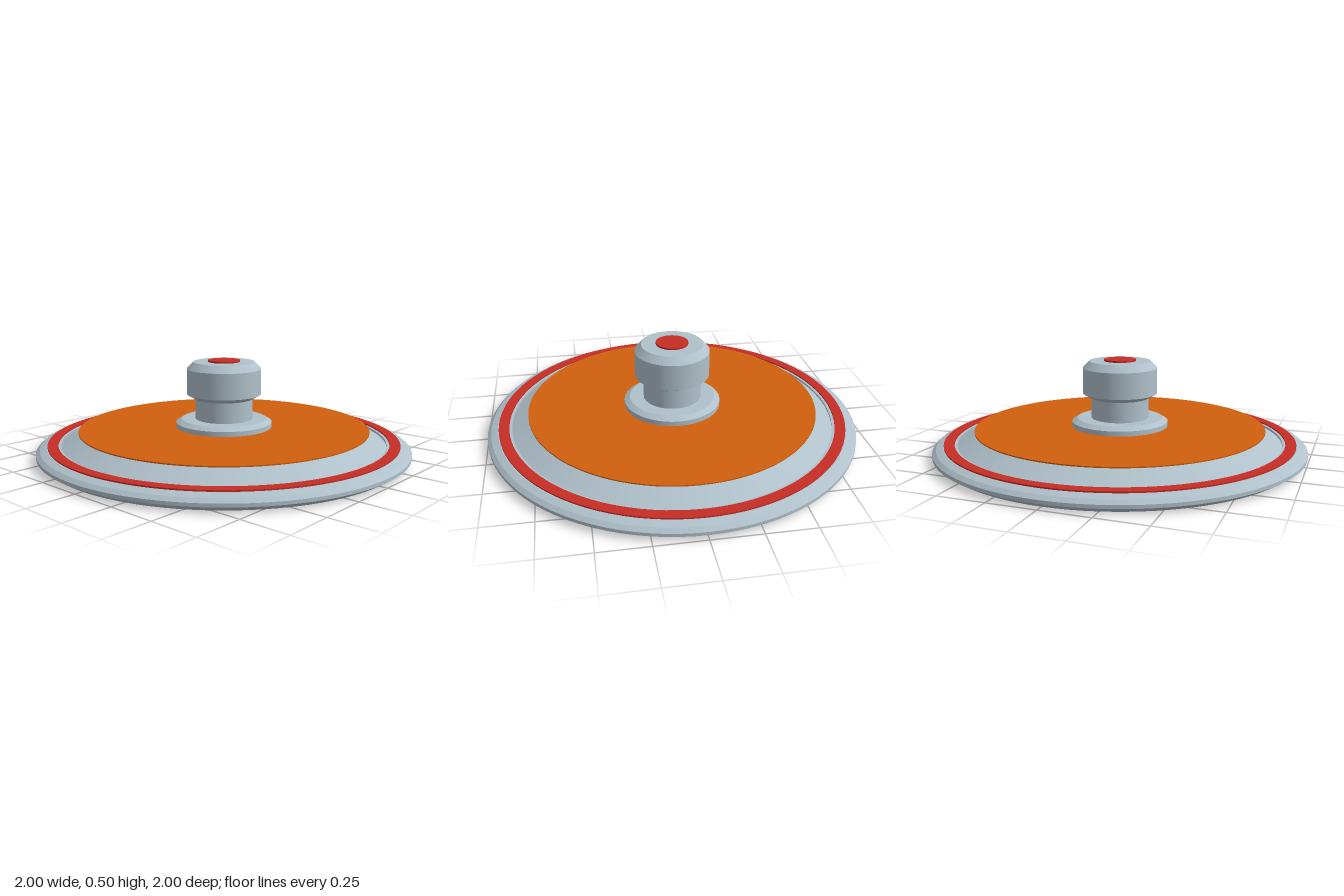
import * as THREE from 'three';
import { mergeGeometries } from 'three/addons/utils/BufferGeometryUtils.js';

const SEGMENTS = 96;

// Turned solid: smooth around the axis, crisp edge at every profile point.
function turned(profile) {
  const bands = [];
  for (let i = 0; i < profile.length - 1; i++) {
    const pair = [profile[i], profile[i + 1]].map(([r, y]) => new THREE.Vector2(r, y));
    bands.push(new THREE.LatheGeometry(pair, SEGMENTS));
  }
  return mergeGeometries(bands);
}

function smoothTurned(profile) {
  return new THREE.LatheGeometry(profile.map(([r, y]) => new THREE.Vector2(r, y)), SEGMENTS);
}

// Thin flat ring as a closed section
function ring(inner, outer, y0, y1) {
  return turned([[inner, y0], [outer, y0], [outer, y1], [inner, y1], [inner, y0]]);
}

export function createModel() {
  const model = new THREE.Group();
  const metal = new THREE.MeshStandardMaterial({ color: 0xb0c1cb });
  const orange = new THREE.MeshStandardMaterial({ color: 0xd05f0e });
  const red = new THREE.MeshStandardMaterial({ color: 0xc62d25 });
  metal.name = 'paleMetal';
  orange.name = 'orangePaint';
  red.name = 'redTrim';

  const add = (name, geometry, material) => {
    const mesh = new THREE.Mesh(geometry, material);
    mesh.name = name;
    model.add(mesh);
  };

  // Hollow underside, softly blended into its flat ceiling
  add('lidUnderside', smoothTurned([[0.14, 0.09], [0.74, 0.09], [0.765, 0.088], [0.86, 0.045], [0.957, 0]]), metal);

  // Rim, raised centre and the bore through it
  add('lidBody', turned([
    [0.957, 0], [0.985, 0.018], [1, 0.028], [1, 0.045], [0.98, 0.062], [0.945, 0.075],
    [0.87, 0.075], [0.87, 0.064], [0.74, 0.133], [0.14, 0.133], [0.14, 0.09],
  ]), metal);

  // Painted centre disc and rim stripe
  add('orangeDisc', ring(0.14, 0.78, 0.133, 0.139), orange);
  add('rimStripe', ring(0.885, 0.94, 0.074, 0.082), red);

  // Knob: flange with hollow base, neck and chamfered head
  add('knob', turned([
    [0, 0.18], [0.14, 0.18], [0.14, 0.137], [0.26, 0.137], [0.26, 0.165], [0.23, 0.183],
    [0.155, 0.183], [0.155, 0.292], [0.2, 0.317], [0.2, 0.455], [0.165, 0.492], [0, 0.492],
  ]), metal);

  // Red button on the knob
  add('knobButton', turned([[0, 0.492], [0.086, 0.492], [0.086, 0.501], [0, 0.501]]), red);

  return model;
}
